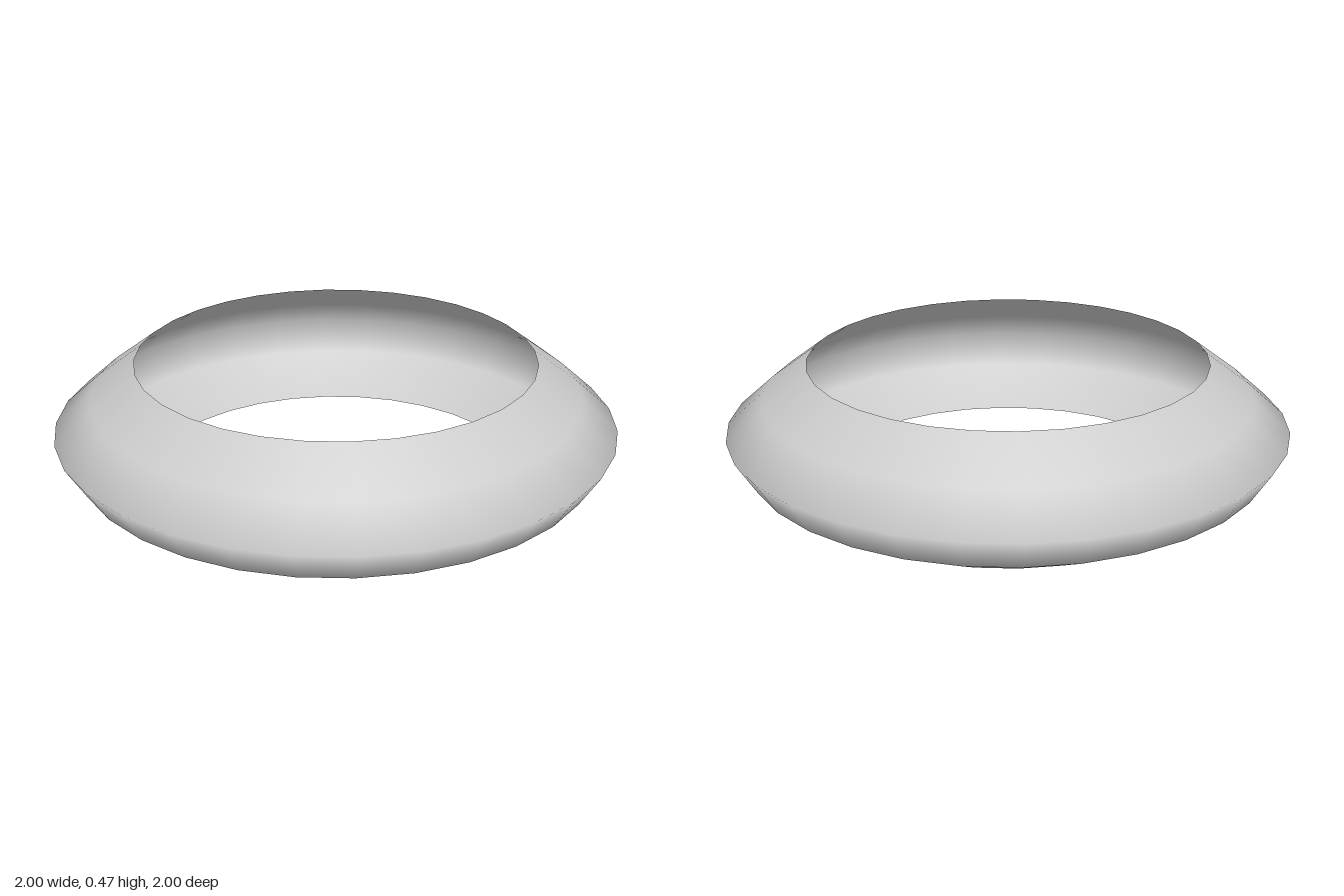
import * as THREE from 'three';

export function createModel() {
  const group = new THREE.Group();
  group.name = 'ring';

  // Open-walled ring: outer skin only, from lower rim over the equator to upper rim
  const profile = [
    [0.71, 0], [0.93, 0.12], [1, 0.235], [0.87, 0.35], [0.71, 0.47],
  ].map(([r, y]) => new THREE.Vector2(r, y));

  const shell = new THREE.Mesh(
    new THREE.LatheGeometry(profile, 32),
    new THREE.MeshStandardMaterial({ color: 0xcccccc, side: THREE.DoubleSide })
  );
  shell.name = 'ringShell';
  group.add(shell);
  return group;
}
